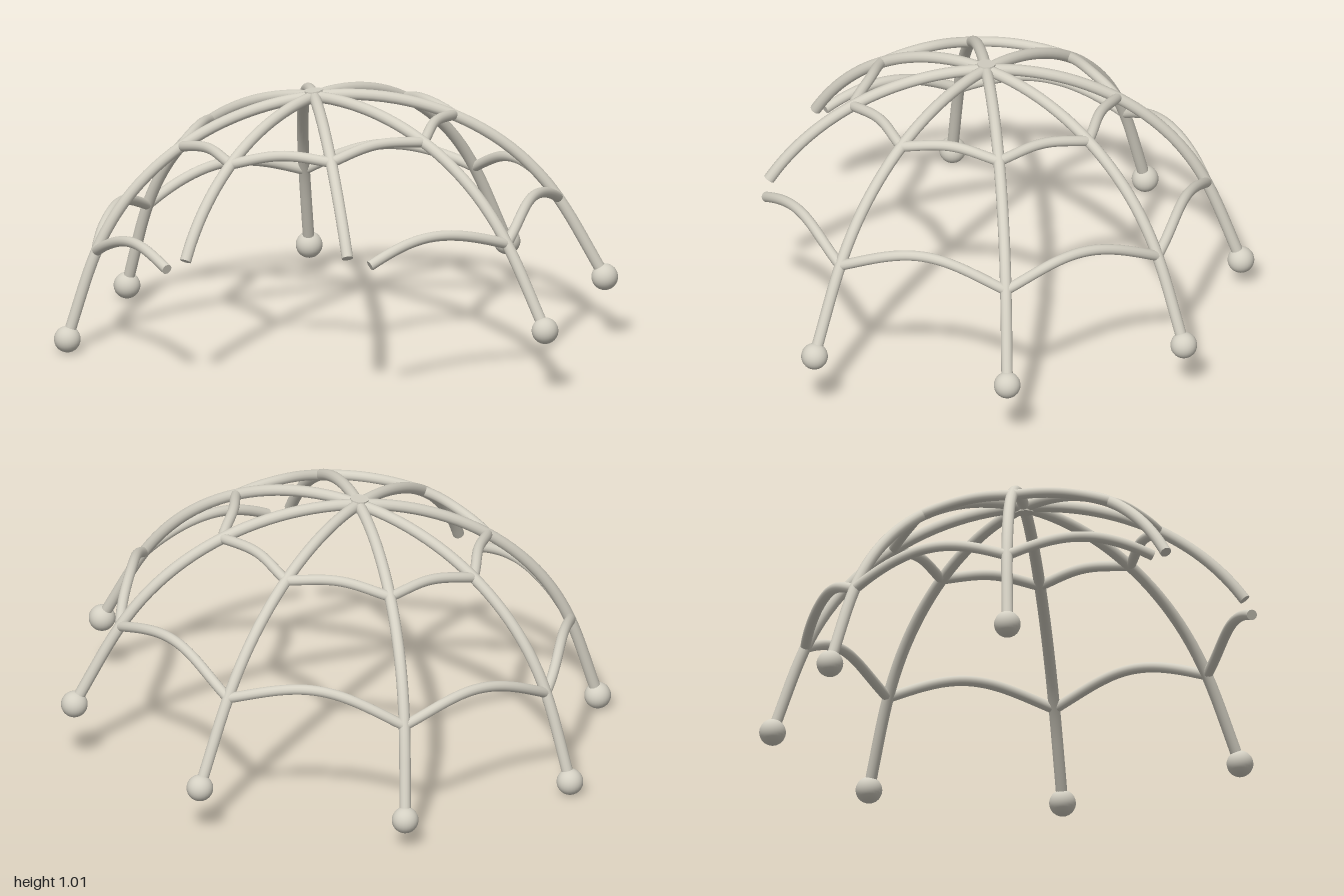
import * as THREE from 'three';

const RADIUS = 1.01;        // dome radius
const STRETCH = 1.04;       // dome is slightly wider along x
const FOOT = 80;            // polar angle of the feet, degrees
const DEG = Math.PI / 180;

// Point on the dome from polar angle (0 = apex) and compass angle, in degrees;
// the lower part is drawn in a little, so the ribs straighten towards the feet
function domePoint(polar, compass) {
  const t = polar * DEG, c = compass * DEG;
  const reach = RADIUS * Math.sin(t) - 0.024 * Math.sin(Math.PI * (polar / FOOT) ** 4);
  return new THREE.Vector3(
    STRETCH * reach * Math.cos(c),
    RADIUS * (Math.cos(t) - Math.cos(FOOT * DEG)),
    reach * Math.sin(c)
  );
}

export function createModel() {
  const model = new THREE.Group();
  model.name = 'climbingDome';
  const dome = new THREE.Group();
  dome.name = 'tiltedFrame';
  dome.position.set(0, 0.152, 0.1);
  dome.rotation.z = 6 * DEG;
  model.add(dome);

  const metal = new THREE.MeshStandardMaterial({ color: 0xd4d0c3 });
  metal.name = 'warmGreyMetal';

  function addPart(name, geometry, position) {
    const part = new THREE.Mesh(geometry, metal);
    part.name = name;
    part.position.copy(position);
    dome.add(part);
    return part;
  }

  // Pipe along a path, with a flat cap on each end
  function addPipe(name, radius, pathPoint) {
    const points = [];
    for (let i = 0; i <= 16; i++) points.push(pathPoint(i / 16));
    const curve = new THREE.CatmullRomCurve3(points);
    addPart(name, new THREE.TubeGeometry(curve, 32, radius, 14), new THREE.Vector3());
    for (const end of [0, 1]) {
      const outward = curve.getTangent(end).multiplyScalar(end ? 1 : -1);
      const cap = addPart(name + 'Cap', new THREE.CircleGeometry(radius, 14), curve.getPoint(end));
      cap.quaternion.setFromUnitVectors(new THREE.Vector3(0, 0, 1), outward);
    }
  }

  // Hub disc where the ribs meet
  addPart('hub', new THREE.CylinderGeometry(0.035, 0.035, 0.05, 20), domePoint(0, 0));

  for (let i = 0; i < 8; i++) {
    const compass = 22.5 + 45 * i;

    // Ribs: the two front ones stop short and have no foot
    const isFront = i === 1 || i === 2;
    const last = isFront ? 55.3 : FOOT;
    addPipe('rib', 0.022, t => domePoint(last * t, compass));
    if (!isFront) addPart('footBall', new THREE.SphereGeometry(0.051, 24, 16), domePoint(FOOT, compass));

    // Inner ring
    const swag = (polar, t) => domePoint(polar * (1 - 0.106 * Math.sin(Math.PI * t)), compass + 45 * t);
    addPipe('innerRingBar', 0.02, t => swag(30, t));

    // Outer ring: open at the front, with a broken bar on each side of the gap
    if (i === 1) continue;
    const from = i === 2 ? 0.12 : 0;
    const to = i === 0 ? 0.88 : 1;
    addPipe('outerRingBar', 0.02, t => swag(60, from + (to - from) * t));
  }
  return model;
}
